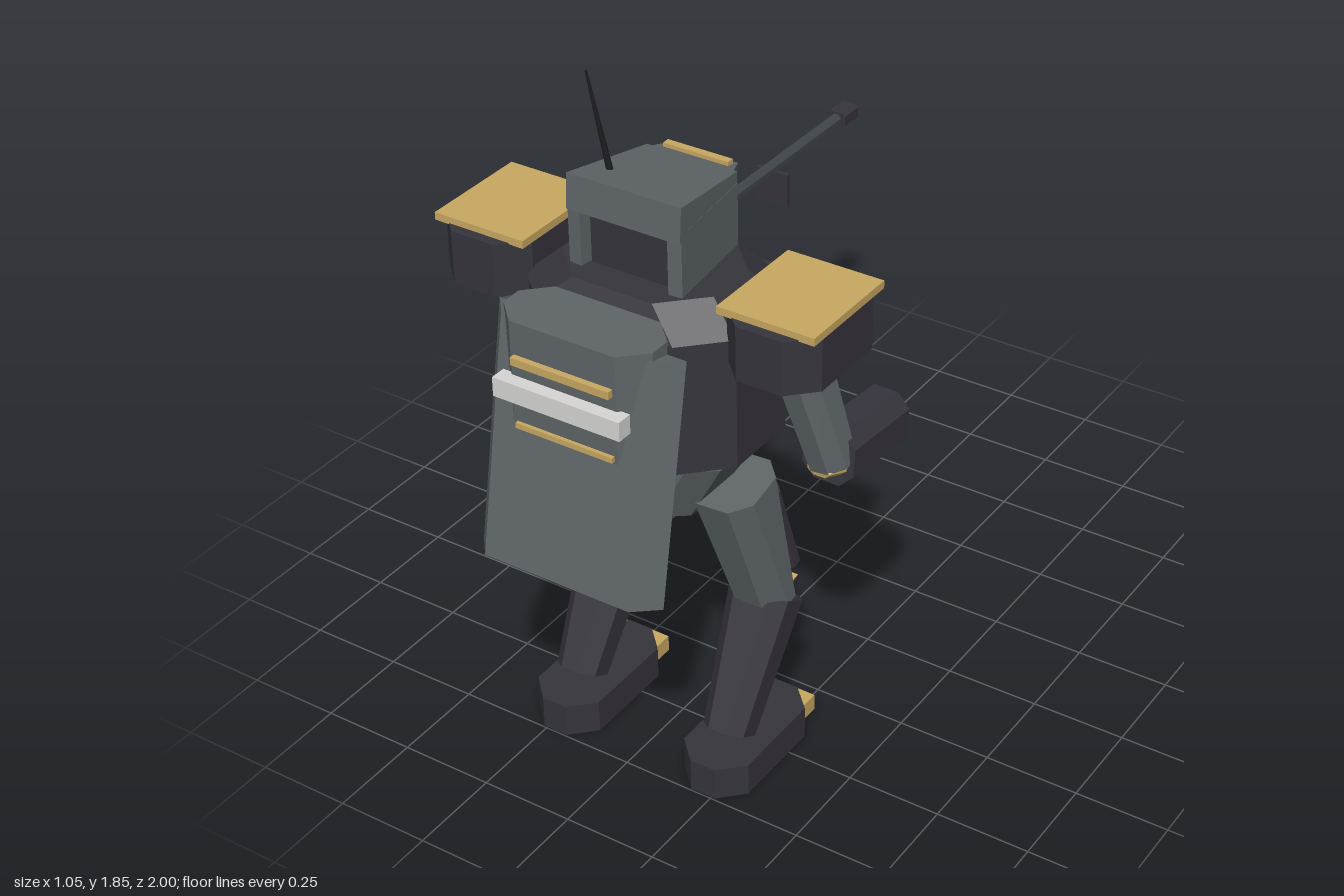
import * as THREE from 'three';

const mat = (name, color) => {
  const m = new THREE.MeshStandardMaterial({ color });
  m.name = name;
  return m;
};

export function createModel() {
  const root = new THREE.Group();
  root.name = 'walkingRobot';
  const dark = mat('charcoal armour', 0x37353d);
  const grey = mat('steel grey', 0x5f6668);
  const gold = mat('brass trim', 0xcaa962);
  const coral = mat('coral lens', 0xc46e5a);
  const white = mat('white stripe', 0xd8d7d5);
  const barrelGrey = mat('gunmetal', 0x40464a);
  const black = mat('antenna black', 0x1e1d21);

  const add = (name, geo, material, pos = [0, 0, 0], parent = root) => {
    const mesh = new THREE.Mesh(geo, material);
    mesh.name = name;
    mesh.position.set(...pos);
    parent.add(mesh);
    return mesh;
  };

  // Axis-aligned box from its min/max ranges
  const box = (name, material, [x0, x1], [y0, y1], [z0, z1], parent) =>
    add(name, new THREE.BoxGeometry(x1 - x0, y1 - y0, z1 - z0), material,
      [(x0 + x1) / 2, (y0 + y1) / 2, (z0 + z1) / 2], parent);

  // Tapered prism with chamfered corners running from a to b; sizes are [width, depth]
  const prism = (name, material, a, b, sizeA, sizeB, chamfer, parent) => {
    const A = new THREE.Vector3(...a), B = new THREE.Vector3(...b);
    const len = A.distanceTo(B);
    const src = new THREE.CylinderGeometry(1, 1, len, 8, 1, false, Math.PI / 8);
    const p = src.attributes.position;
    const snap = (v, size, c) =>
      Math.abs(v) < 0.1 ? 0 : Math.sign(v) * (size / 2 - (Math.abs(v) > 0.6 ? 0 : c));
    for (let i = 0; i < p.count; i++) {
      const s = p.getY(i) < 0 ? sizeA : sizeB;
      const c = Math.min(chamfer, s[0] * 0.48, s[1] * 0.48);
      p.setX(i, snap(p.getX(i), s[0], c));
      p.setZ(i, snap(p.getZ(i), s[1], c));
    }
    const geo = src.toNonIndexed();
    geo.computeVertexNormals();
    const Y = B.clone().sub(A).normalize();
    const X = new THREE.Vector3(1, 0, 0).addScaledVector(Y, -Y.x).normalize();
    const Z = new THREE.Vector3().crossVectors(X, Y);
    const mesh = add(name, geo, material, A.add(B).multiplyScalar(0.5).toArray(), parent);
    mesh.quaternion.setFromRotationMatrix(new THREE.Matrix4().makeBasis(X, Y, Z));
    return mesh;
  };

  // Torso, waist and pelvis
  prism('torso', dark, [0, 0.955, 0.57], [0, 1.3, 0.57], [0.58, 0.415], [0.58, 0.415], 0.105);
  prism('collar', dark, [0, 1.3, 0.57], [0, 1.37, 0.57], [0.58, 0.415], [0.42, 0.34], 0.1);
  prism('waist', barrelGrey, [0, 0.88, 0.565], [0, 0.97, 0.565], [0.3, 0.25], [0.3, 0.25], 0.06);
  prism('pelvis', grey, [0, 0.73, 0.595], [0, 0.89, 0.572], [0.26, 0.2], [0.44, 0.255], 0.06);

  // Chest plate with chevron
  prism('chestPlate', dark, [0, 1.02, 0.35], [0, 1.29, 0.35], [0.34, 0.05], [0.4, 0.05], 0.015);
  prism('chestPanel', grey, [0, 1.03, 0.325], [0, 1.27, 0.325], [0.28, 0.009], [0.35, 0.009], 0);
  for (const s of [1, -1])
    prism('chevronBar', gold, [0, 1.05, 0.328], [s * 0.185, 1.262, 0.328],
      [0.024, 0.034], [0.024, 0.034], 0);
  box('chestBadge', gold, [-0.035, 0.035], [1.016, 1.06], [0.308, 0.34]);

  // Head
  const head = new THREE.Group();
  head.name = 'head';
  root.add(head);
  box('headCore', dark, [-0.112, 0.112], [1.35, 1.54], [0.43, 0.66], head);
  prism('helmetRoof', grey, [0, 1.555, 0.687], [0, 1.533, 0.415], [0.312, 0.09], [0.25, 0.055], 0, head);
  prism('brow', grey, [0, 1.545, 0.44], [0, 1.537, 0.366], [0.25, 0.035], [0.19, 0.03], 0, head);
  prism('browShade', dark, [0, 1.505, 0.43], [0, 1.5, 0.37], [0.2, 0.06], [0.18, 0.05], 0, head);
  box('browTrim', gold, [-0.09, 0.09], [1.552, 1.567], [0.378, 0.398], head);
  box('visor', gold, [-0.08, 0.06], [1.42, 1.445], [0.415, 0.432], head);
  box('eyeLens', coral, [0.058, 0.1], [1.405, 1.455], [0.378, 0.432], head);
  box('jaw', grey, [-0.1, 0.1], [1.36, 1.405], [0.415, 0.44], head);
  for (const s of [1, -1])
    prism('cheekPanel', grey, [s * 0.138, 1.45, 0.687], [s * 0.108, 1.45, 0.415],
      [0.036, 0.16], [0.036, 0.16], 0, head);
  prism('antenna', black, [-0.095, 1.57, 0.597], [-0.122, 1.845, 0.64],
    [0.016, 0.016], [0.008, 0.008], 0.004, head);

  // Backpack and tilted shield
  prism('backpack', grey, [0, 1.005, 0.845], [0, 1.342, 0.845], [0.41, 0.176], [0.41, 0.176], 0.06);
  const shield = new THREE.Shape([[-0.258, 0.032], [-0.205, -0.032], [0.205, -0.032], [0.258, 0.032]]
    .map(([x, y]) => new THREE.Vector2(x, y)));
  const shieldGeo = new THREE.ExtrudeGeometry(shield, { depth: 0.62, bevelEnabled: false });
  shieldGeo.translate(0, 0, -0.31).rotateX(-Math.PI / 2);
  add('shield', shieldGeo, grey, [0, 1.012, 0.909]).rotation.x = -0.185;
  box('shieldStripe', white, [-0.175, 0.175], [1.15, 1.2], [0.925, 0.967]);
  box('upperShieldTrim', gold, [-0.135, 0.135], [1.236, 1.256], [0.925, 0.949]);
  box('lowerShieldTrim', gold, [-0.135, 0.135], [1.064, 1.078], [0.92, 0.943]);

  for (const s of [1, -1]) {
    const x = v => s * v;
    const limb = new THREE.Group();
    limb.name = s > 0 ? 'leftLimbs' : 'rightLimbs';
    root.add(limb);

    // Shoulder and arm
    prism('shoulderGuard', dark, [x(0.395), 1.245, 0.57], [x(0.395), 1.385, 0.57],
      [0.25, 0.345], [0.25, 0.345], 0.065, limb);
    add('shoulderCap', new THREE.BoxGeometry(0.256, 0.02, 0.295), gold, [x(0.395), 1.392, 0.568], limb);
    prism('upperArm', grey, [x(0.435), 0.93, 0.495], [x(0.372), 1.27, 0.56],
      [0.115, 0.11], [0.125, 0.14], 0.033, limb);
    prism('elbowTrim', gold, [x(0.433), 0.925, 0.55], [x(0.433), 0.935, 0.49],
      [0.06, 0.03], [0.12, 0.07], 0.015, limb);
    prism('forearm', dark, [x(0.432), 0.945, 0.505], [x(0.432), 0.915, 0.255],
      [0.14, 0.14], [0.135, 0.15], 0.035, limb);

    // Leg
    prism('thigh', grey, [x(0.222), 0.44, 0.46], [x(0.195), 0.81, 0.552],
      [0.165, 0.125], [0.185, 0.19], 0.045, limb);
    prism('thighPlate', dark, [x(0.226), 0.505, 0.398], [x(0.21), 0.755, 0.475],
      [0.11, 0.065], [0.13, 0.06], 0.02, limb);
    prism('shin', dark, [x(0.224), 0.12, 0.623], [x(0.222), 0.437, 0.45],
      [0.117, 0.13], [0.17, 0.145], 0.035, limb);
    prism('kneeGuard', gold, [x(0.222), 0.385, 0.405], [x(0.222), 0.465, 0.415],
      [0.03, 0.02], [0.11, 0.05], 0, limb);
    prism('shinBadge', gold, [x(0.224), 0.235, 0.477], [x(0.224), 0.28, 0.452],
      [0.035, 0.03], [0.035, 0.03], 0, limb);
    prism('foot', dark, [x(0.225), 0, 0.555], [x(0.225), 0.09, 0.555],
      [0.19, 0.38], [0.19, 0.38], 0.06, limb);
    add('toePlate', new THREE.BoxGeometry(0.15, 0.045, 0.05), gold, [x(0.225), 0.048, 0.372], limb);
  }

  // Long rifle held in the right hand
  const rifle = new THREE.Group();
  rifle.name = 'rifle';
  rifle.position.x = -0.432;
  root.add(rifle);
  const along = (name, m, y, z0, z1, w, h, c) =>
    prism(name, m, [0, y, z0], [0, y, z1], [w, h], [w, h], c, rifle);
  along('rifleBody', grey, 0.936, 0.36, -0.168, 0.08, 0.108, 0.018);
  along('rifleScope', dark, 1.038, 0.205, -0.09, 0.06, 0.064, 0.015);
  along('scopeLens', coral, 1.038, -0.085, -0.097, 0.045, 0.048, 0.014);
  box('scopeMount', dark, [-0.015, 0.015], [0.98, 1.015], [-0.04, 0.15], rifle);
  box('rifleTrim', gold, [-0.046, -0.039], [0.945, 0.96], [-0.1, 0.14], rifle);
  along('barrelSleeve', barrelGrey, 0.952, -0.16, -0.36, 0.045, 0.05, 0.014);
  along('barrel', barrelGrey, 0.953, -0.35, -0.94, 0.032, 0.034, 0.01);
  along('muzzle', dark, 0.953, -0.93, -1, 0.058, 0.046, 0.008);
  box('foregrip', dark, [-0.05, 0.05], [0.84, 0.94], [-0.608, -0.594], rifle);

  return root;
}
